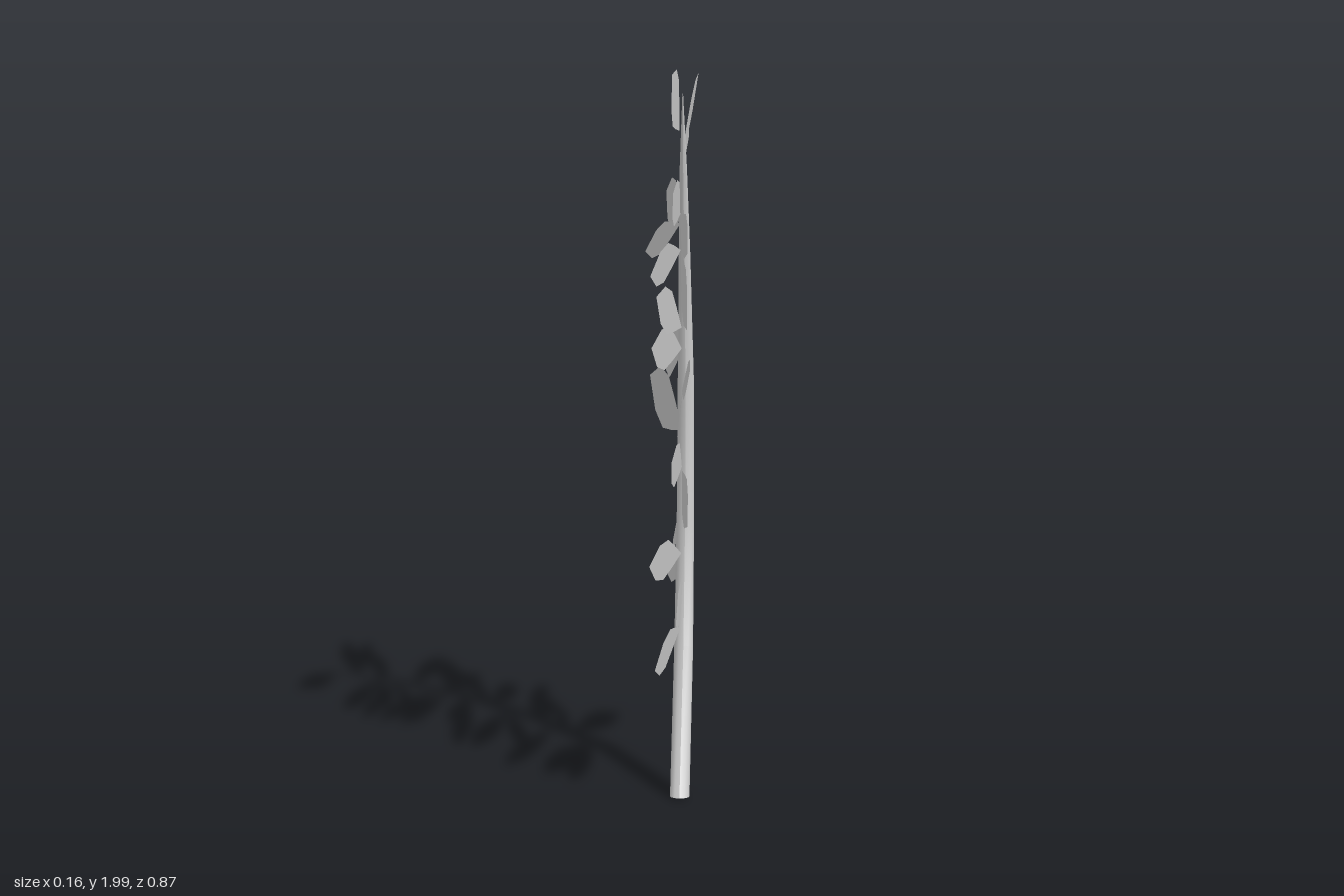
import * as THREE from 'three';

// Stem rings: [x, y, z, radius]
const STEM = [
  [0.04, 0.01, 0.295, 0.027],
  [0.043, 0.37, 0.06, 0.027],
  [0.045, 0.73, -0.025, 0.025],
  [0.045, 1.13, -0.045, 0.023],
  [0.042, 1.5, -0.005, 0.016],
  [0.04, 1.73, 0.045, 0.01],
  [0.04, 1.93, 0.1, 0.001],
];

// Leaves: [base y, tip x, tip y, tip z, half width]
const FRONT_LEAVES = [
  [1.83, 0.02, 1.975, 0.33, 0.07],
  [1.6, 0.025, 1.67, 0.41, 0.06],
  [1.6, 0.06, 1.51, 0.3, 0.055],
  [1.5, -0.035, 1.455, 0.39, 0.055],
  [1.5, 0.06, 1.31, 0.35, 0.062],
  [1.28, -0.02, 1.4, 0.37, 0.06],
  [1.22, -0.035, 1.26, 0.33, 0.06],
  [1.1, 0.065, 1.19, 0.26, 0.055],
  [1.09, 0.04, 1.06, 0.435, 0.06],
  [0.88, 0.02, 0.96, 0.385, 0.062],
  [0.87, 0.06, 0.77, 0.295, 0.06],
  [0.635, -0.038, 0.685, 0.41, 0.056],
  [0.45, 0.04, 0.62, 0.425, 0.068],
  [0.43, -0.025, 0.39, 0.375, 0.058],
];
const BACK_LEAVES = [
  [1.735, 0.075, 1.995, -0.235, 0.068],
  [1.735, 0.045, 1.815, -0.333, 0.058],
  [1.585, -0.02, 1.655, -0.28, 0.072],
  [1.575, -0.08, 1.48, -0.245, 0.05],
  [1.42, 0.03, 1.34, -0.407, 0.066],
  [1.21, -0.03, 1.205, -0.433, 0.1],
  [1.195, 0.04, 1.115, -0.322, 0.058],
  [0.98, -0.075, 1.095, -0.407, 0.085],
  [0.965, 0.04, 0.905, -0.317, 0.068],
  [0.757, 0.035, 0.745, -0.402, 0.058],
  [0.735, 0, 0.61, -0.275, 0.062],
  [0.57, -0.02, 0.56, -0.264, 0.05],
  [0.54, 0.04, 0.34, -0.312, 0.068],
];

// Stem centre and radius at a given height
function stemAt(y) {
  let i = 0;
  while (i < STEM.length - 2 && STEM[i + 1][1] < y) i++;
  const a = STEM[i], b = STEM[i + 1];
  const t = (y - a[1]) / (b[1] - a[1]);
  return a.map((v, k) => v + (b[k] - v) * t);
}

// Tapering bent stem, made by moving the rings of a cylinder
function makeStem() {
  const n = STEM.length - 1;
  const geo = new THREE.CylinderGeometry(1, 1, 1, 12, n);
  const pos = geo.attributes.position;
  for (let i = 0; i < pos.count; i++) {
    const k = Math.round((pos.getY(i) + 0.5) * n);
    const [cx, cy, cz, r] = STEM[k];
    const a = STEM[Math.max(k - 1, 0)], b = STEM[Math.min(k + 1, n)];
    // The foot is cut nearly level
    const slope = k === 0 ? 0.1 : Math.atan2(a[2] - b[2], b[1] - a[1]);
    const u = pos.getX(i) * r, v = pos.getZ(i) * r;
    pos.setXYZ(i, cx + u, cy + v * Math.sin(slope), cz + v * Math.cos(slope));
  }
  geo.computeVertexNormals();
  return geo;
}

// Flat pointed leaf, one unit long along +x
function makeLeafGeometry(length, halfWidth) {
  const outline = [[0, 0], [0.28, 0.6], [0.5, 1], [0.75, 0.85], [1, 0]];
  const points = [
    ...outline,
    ...outline.slice(1, -1).reverse().map(([u, v]) => [u, -v]),
  ].map(([u, v]) => new THREE.Vector2(u * length, v * halfWidth));
  return new THREE.ShapeGeometry(new THREE.Shape(points));
}

export function createModel() {
  const group = new THREE.Group();
  group.name = 'leafyBranch';
  const grey = new THREE.MeshStandardMaterial({ color: 0xcccccc });
  const leafMaterial = new THREE.MeshStandardMaterial({
    color: 0xcccccc, flatShading: true, side: THREE.DoubleSide,
  });

  const stem = new THREE.Mesh(makeStem(), grey);
  stem.name = 'stem';
  group.add(stem);

  // Leaves fan out on both sides of the stem, close to one plane
  const addLeaves = (rows, side, name) => rows.forEach(([y, tx, ty, tz, w]) => {
    const [sx, , sz, r] = stemAt(y);
    const base = new THREE.Vector3(sx - 0.01, y, sz + side * r * 0.7);
    const along = new THREE.Vector3(tx, ty, tz).sub(base);
    const length = along.length();
    along.normalize();
    const normal = new THREE.Vector3(1, -0.12, 0);
    const across = new THREE.Vector3().crossVectors(normal, along).normalize();
    normal.crossVectors(along, across);
    const leaf = new THREE.Mesh(makeLeafGeometry(length, w), leafMaterial);
    leaf.name = name;
    leaf.quaternion.setFromRotationMatrix(new THREE.Matrix4().makeBasis(along, across, normal));
    leaf.position.copy(base);
    group.add(leaf);
  });
  addLeaves(FRONT_LEAVES, 1, 'frontLeaf');
  addLeaves(BACK_LEAVES, -1, 'backLeaf');
  return group;
}
